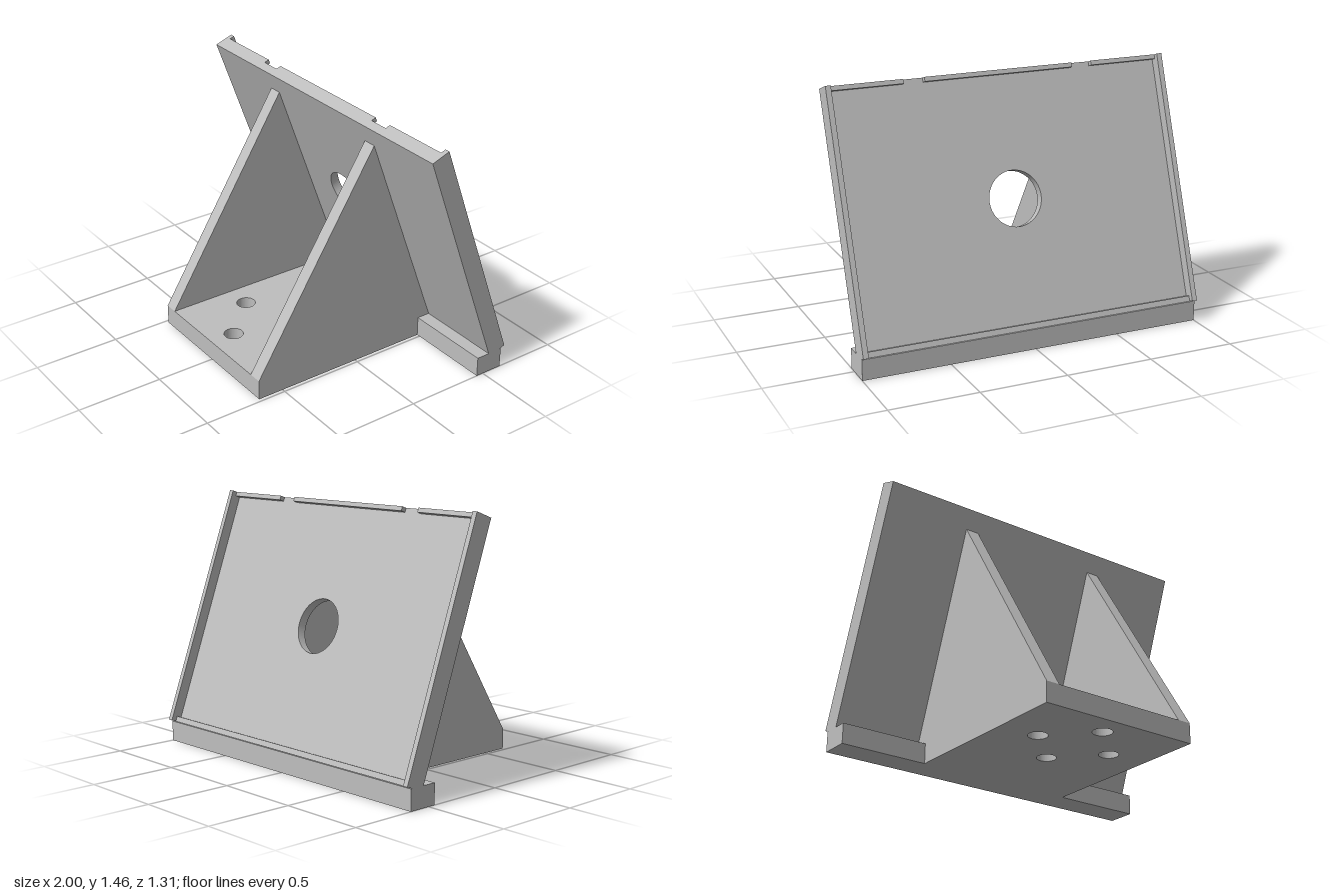
import * as THREE from 'three';

export function createModel() {
  const model = new THREE.Group();
  model.name = 'angledBracket';
  const grey = new THREE.MeshStandardMaterial({ color: 0xbebebe });
  grey.name = 'light grey';

  const add = (parent, name, geometry) => {
    const mesh = new THREE.Mesh(geometry, grey);
    mesh.name = name;
    parent.add(mesh);
    return mesh;
  };
  const polygon = (points) => new THREE.Shape(points.map(([x, y]) => new THREE.Vector2(x, y)));
  const hole = (x, y, r) => new THREE.Path().absarc(x, y, r, 0, Math.PI * 2, true);
  const extrude = (shape, depth) =>
    new THREE.ExtrudeGeometry(shape, { depth, bevelEnabled: false, curveSegments: 48 });
  // Box given by its limits on each axis
  const block = (x0, x1, y0, y1, z0, z1) =>
    new THREE.BoxGeometry(x1 - x0, y1 - y0, z1 - z0)
      .translate((x0 + x1) / 2, (y0 + y1) / 2, (z0 + z1) / 2);

  // T-shaped foot with four bolt holes, drawn as (x, -z)
  const baseTop = 0.117;
  const foot = polygon([
    [-0.48, -0.655], [0.48, -0.655], [0.48, 0.456], [1, 0.456],
    [1, 0.626], [-1, 0.626], [-1, 0.456], [-0.48, 0.456],
  ]);
  for (const [x, z] of [[0, 0.02], [0, 0.505], [-0.24, 0.262], [0.24, 0.262]]) {
    foot.holes.push(hole(x, -z, 0.055));
  }
  add(model, 'base', extrude(foot, baseTop).rotateX(-Math.PI / 2));

  // Triangular ribs, drawn as (z, y)
  const rib = polygon([[0.655, baseTop], [-0.102, 1.318], [-0.54, baseTop]]);
  for (const [name, x] of [['leftRib', 0.48], ['rightRib', -0.4]]) {
    add(model, name, extrude(rib, 0.08).rotateY(-Math.PI / 2).translate(x, 0, 0));
  }

  // Leaning panel: local origin on its front top edge, back towards -z
  const panel = new THREE.Group();
  panel.name = 'panel';
  panel.position.set(0, 1.426, -0.06);
  panel.rotation.x = THREE.MathUtils.degToRad(20);
  model.add(panel);

  const thick = 0.053, lip = 0.083, rim = 0.113, inner = 0.97;
  const plate = polygon([[-inner, -1.42], [inner, -1.42], [inner, 0], [-inner, 0]]);
  plate.holes.push(hole(0, -0.706, 0.155));
  add(panel, 'panelPlate', extrude(plate, thick).translate(0, 0, -thick));

  // Side rims
  add(panel, 'leftRim', block(inner, 1, -1.42, 0, -rim, 0));
  add(panel, 'rightRim', block(-1, -inner, -1.42, 0, -rim, 0));

  // Bottom lip, and top lip broken by two notches
  add(panel, 'bottomLip', block(-inner, inner, -1.42, -1.389, -lip, -thick));
  for (const [x0, x1] of [[-inner, -0.56], [-0.44, 0.44], [0.56, inner]]) {
    add(panel, 'topLip', block(x0, x1, -0.025, 0, -lip, -thick));
  }
  return model;
}
